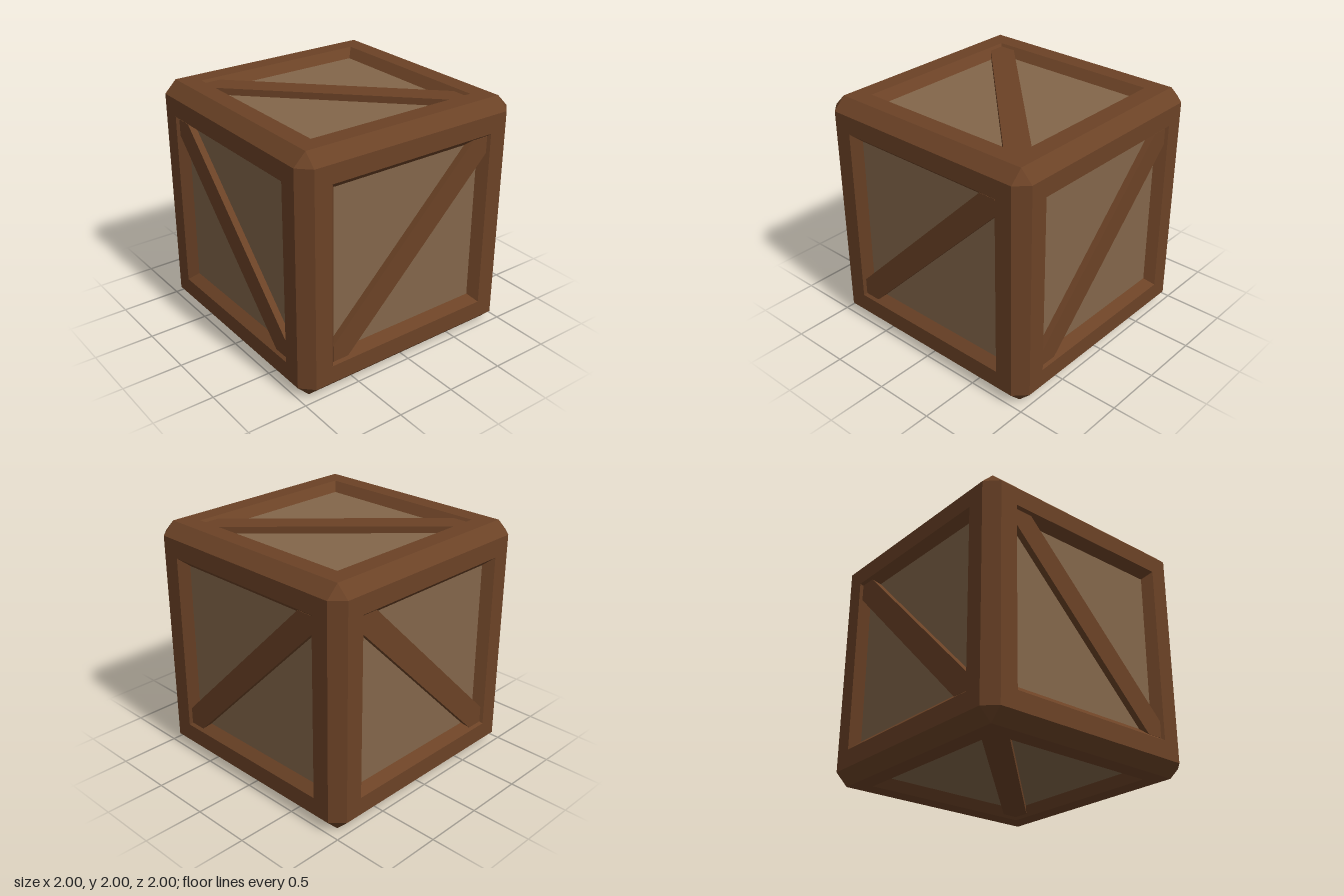
import * as THREE from 'three';

const frameMat = new THREE.MeshStandardMaterial({ color: 0x6b4226, flatShading: true });
const panelMat = new THREE.MeshStandardMaterial({ color: 0x83664a, flatShading: true });

const HALF = 1, BEVEL = 0.1, FLAT = HALF - BEVEL;
const RIM = 0.75, INNER = 0.685, PANEL_Z = 0.925;
const BRACE_END = 0.73, BRACE_CUT = 0.59, BRACE_Z = 0.98;

function part(parent, name, geometry, material) {
  const mesh = new THREE.Mesh(geometry, material);
  mesh.name = name;
  parent.add(mesh);
  return mesh;
}

// Square ring: flat border, then a sloped lip down to the panel
function frameGeometry() {
  const profile = [[FLAT, HALF], [RIM, HALF], [INNER, PANEL_Z]]
    .map(([r, z]) => new THREE.Vector2(r * Math.SQRT2, z));
  return new THREE.LatheGeometry(profile, 4, Math.PI / 4).rotateX(Math.PI / 2);
}

// Diagonal plank with squared-off tips, running top left to bottom right
function braceGeometry() {
  const e = BRACE_END, c = BRACE_CUT;
  const outline = [[-e, e], [-e, c], [c, -e], [e, -e], [e, -c], [-c, e]]
    .map(([x, y]) => new THREE.Vector2(x, y));
  return new THREE.ExtrudeGeometry(new THREE.Shape(outline), {
    depth: BRACE_Z - PANEL_Z, bevelEnabled: false,
  }).translate(0, 0, PANEL_Z);
}

export function createModel() {
  const model = new THREE.Group();
  model.name = 'crate';
  const body = new THREE.Group();
  body.name = 'crateBody';
  body.position.y = HALF;
  model.add(body);

  // Six sides: [name, rotation x, rotation y, brace mirrored]
  const q = Math.PI / 2;
  const frame = frameGeometry();
  const brace = braceGeometry();
  const panel = new THREE.PlaneGeometry(2 * INNER, 2 * INNER).translate(0, 0, PANEL_Z);
  const sides = [
    ['front', 0, 0, false], ['back', 0, 2 * q, true],
    ['right', 0, q, true], ['left', 0, -q, false],
    ['top', -q, 0, true], ['bottom', q, 0, false],
  ];
  for (const [name, rx, ry, mirrored] of sides) {
    const side = new THREE.Group();
    side.name = name + 'Side';
    side.rotation.set(rx, ry, 0);
    part(side, 'frame', frame, frameMat);
    part(side, 'panel', panel, panelMat);
    part(side, 'diagonalBrace', brace, frameMat).rotation.z = mirrored ? q : 0;
    body.add(side);
  }

  // Twelve bevelled edges, four along each axis
  const mid = HALF - BEVEL / 2;
  for (const turn of ['x', 'y', 'z']) {
    for (let k = 0; k < 4; k++) {
      const edge = new THREE.PlaneGeometry(2 * FLAT, BEVEL * Math.SQRT2)
        .rotateX(-Math.PI / 4).translate(0, mid, mid).rotateX(k * q);
      if (turn === 'y') edge.rotateZ(q);
      if (turn === 'z') edge.rotateY(q);
      part(body, 'bevelledEdge', edge, frameMat);
    }
  }

  // Eight triangular corner cuts
  for (let k = 0; k < 8; k++) {
    const corner = new THREE.BufferGeometry();
    corner.setAttribute('position', new THREE.Float32BufferAttribute(
      [HALF, FLAT, FLAT, FLAT, HALF, FLAT, FLAT, FLAT, HALF], 3));
    corner.rotateY((k % 4) * q);
    if (k >= 4) corner.rotateX(Math.PI);
    corner.computeVertexNormals();
    part(body, 'cornerCut', corner, frameMat);
  }
  return model;
}
